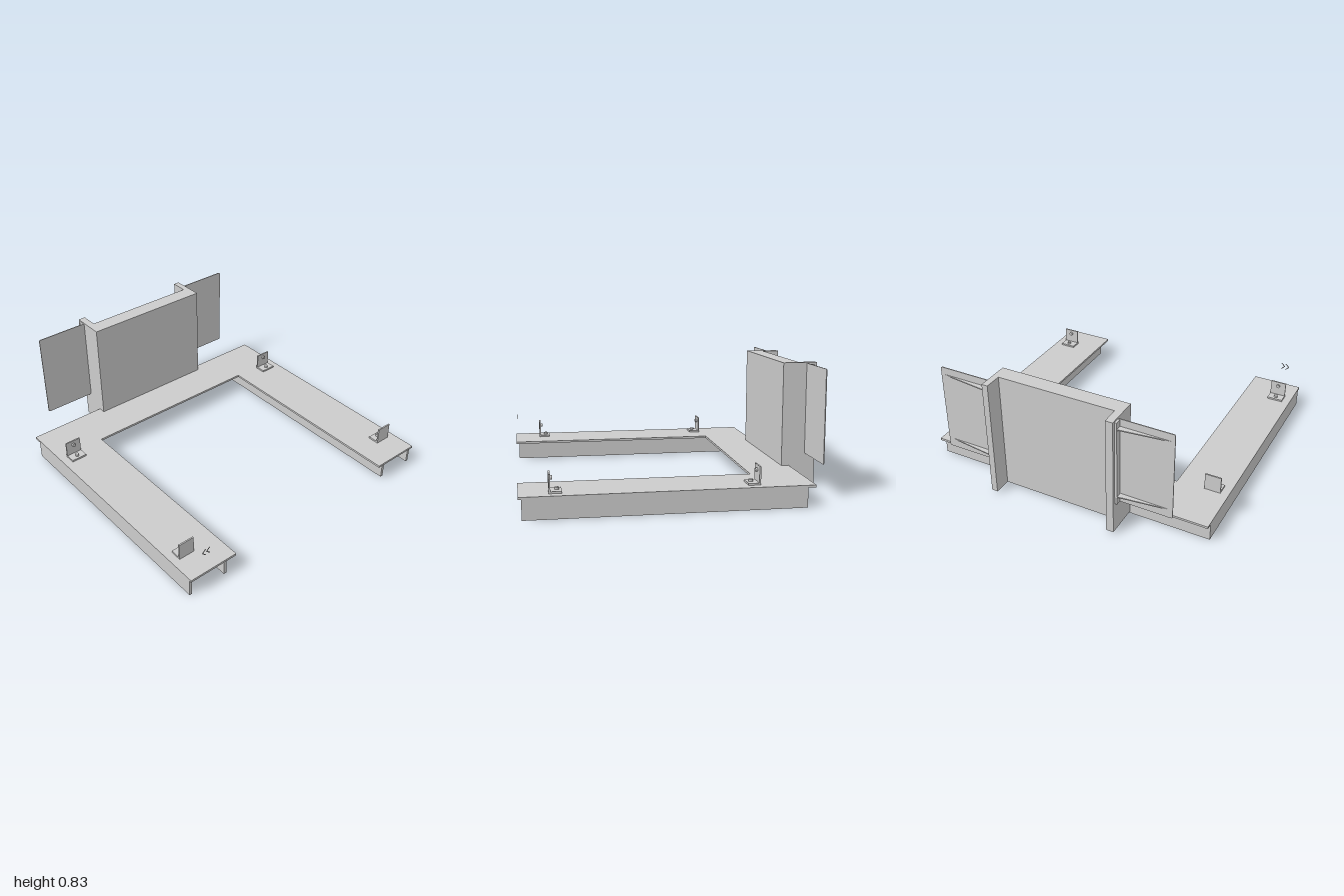
import * as THREE from 'three';

const grey = new THREE.MeshStandardMaterial({ color: 0xcccccc, side: THREE.DoubleSide });

function add(parent, name, geometry) {
  const mesh = new THREE.Mesh(geometry, grey);
  mesh.name = name;
  parent.add(mesh);
  return mesh;
}

// Box given by its limits on each axis
function box(parent, name, [x0, x1], [y0, y1], [z0, z1]) {
  const mesh = add(parent, name, new THREE.BoxGeometry(x1 - x0, y1 - y0, Math.abs(z1 - z0)));
  mesh.position.set((x0 + x1) / 2, (y0 + y1) / 2, (z0 + z1) / 2);
  return mesh;
}

// Flat outline in (x, z), extruded upwards from y0 to y1
function slab(parent, name, points, y0, y1) {
  const shape = new THREE.Shape(points.map(([x, z]) => new THREE.Vector2(x, -z)));
  const geo = new THREE.ExtrudeGeometry(shape, { depth: y1 - y0, bevelEnabled: false });
  geo.rotateX(-Math.PI / 2).translate(0, y0, 0);
  return add(parent, name, geo);
}

function roundedRect(w, h, r) {
  const s = new THREE.Shape();
  s.absarc(w - r, r, r, -Math.PI / 2, 0);
  s.absarc(w - r, h - r, r, 0, Math.PI / 2);
  s.absarc(r, h - r, r, Math.PI / 2, Math.PI);
  s.absarc(r, r, r, Math.PI, Math.PI * 1.5);
  return s;
}

// U-shaped floor frame: top plate over open-bottomed channels
function buildFrame() {
  const g = new THREE.Group();
  g.name = 'baseFrame';
  slab(g, 'topPlate', [
    [-0.81, -1], [0.985, -1], [0.985, -0.65], [-0.49, -0.65],
    [-0.49, 0.65], [0.985, 0.65], [0.985, 1], [-0.81, 1],
  ], 0.125, 0.14);
  for (const s of [1, -1]) {
    box(g, 'armOuterWall', [-0.76, 0.965], [0, 0.125], [s * 0.98, s * 0.998]);
    box(g, 'armInnerWall', [-0.76, 0.965], [0, 0.125], [s * 0.71, s * 0.73]);
    box(g, 'armWeb', [-0.76, 0.965], [0.1, 0.125], [s * 0.73, s * 0.98]);
  }
  box(g, 'rearWall', [-0.76, -0.742], [0, 0.125], [-0.998, 0.998]);
  box(g, 'rearWeb', [-0.742, -0.53], [0.1, 0.125], [-0.71, 0.71]);
  return g;
}

// Upright panel with a flange at each side
function buildPanel() {
  const g = new THREE.Group();
  g.name = 'uprightPanel';
  slab(g, 'panelBody', [
    [-0.76, -0.455], [-0.76, 0.45], [-0.988, 0.45], [-0.988, 0.4],
    [-0.87, 0.4], [-0.87, -0.413], [-0.988, -0.413], [-0.988, -0.455],
  ], 0.015, 0.83);
  return g;
}

// Thin side wing with a mounting strip and two tapered ribs
function buildWing(s) {
  const g = new THREE.Group();
  g.name = s > 0 ? 'leftWing' : 'rightWing';
  const sheet = new THREE.ExtrudeGeometry(roundedRect(0.365, 0.605, 0.012),
    { depth: 0.006, bevelEnabled: false });
  sheet.rotateY(-Math.PI / 2);
  add(g, 'wingSheet', sheet).position.set(-0.919, 0.22, s > 0 ? 0.45 : -0.815);
  box(g, 'mountingStrip', [-0.967, -0.922], [0.225, 0.82], [s * 0.45, s * 0.465]);
  for (const y of [0.276, 0.768]) {
    slab(g, 'wingRib', [[-0.922, s * 0.46], [-0.965, s * 0.46], [-0.924, s * 0.8]], y, y + 0.007);
  }
  return g;
}

// Angle bracket with two bolts; its upright is at local x = 0
function buildBracket(x, z, dir) {
  const g = new THREE.Group();
  g.name = 'angleBracket';
  box(g, 'bracketFoot', [0, 0.078], [0, 0.012], [-0.055, 0.055]);
  box(g, 'bracketUpright', [0, 0.01], [0, 0.115], [-0.055, 0.055]);
  const footBolt = add(g, 'footBolt', new THREE.CylinderGeometry(0.013, 0.013, 0.016, 16));
  footBolt.position.set(0.05, 0.019, 0);
  const wallBolt = add(g, 'uprightBolt', new THREE.CylinderGeometry(0.013, 0.013, 0.014, 16));
  wallBolt.rotation.z = Math.PI / 2;
  wallBolt.position.set(0.016, 0.085, 0);
  g.position.set(x, 0.14, z);
  if (dir < 0) g.rotation.y = Math.PI;
  return g;
}

// Small pair of flat chevrons above the end of the left arm
function buildChevrons() {
  const g = new THREE.Group();
  g.name = 'directionChevrons';
  const shape = new THREE.Shape([
    [0, 0.0225], [0.022, 0.045], [0.03, 0.045], [0.008, 0.0225], [0.03, 0], [0.022, 0],
  ].map(([a, b]) => new THREE.Vector2(a, b)));
  for (const offset of [0, 0.032]) {
    const geo = new THREE.ExtrudeGeometry(shape, { depth: 0.002, bevelEnabled: false });
    geo.rotateY(Math.PI / 2);
    add(g, 'chevron', geo).position.set(0.974, 0.271, 0.908 - offset);
  }
  return g;
}

export function createModel() {
  const model = new THREE.Group();
  model.name = 'floorFrameWithPanel';
  model.add(buildFrame(), buildPanel(), buildChevrons());
  for (const s of [1, -1]) {
    model.add(buildWing(s));
    model.add(buildBracket(-0.477, s * 0.89, 1), buildBracket(0.805, s * 0.89, -1));
  }
  return model;
}
